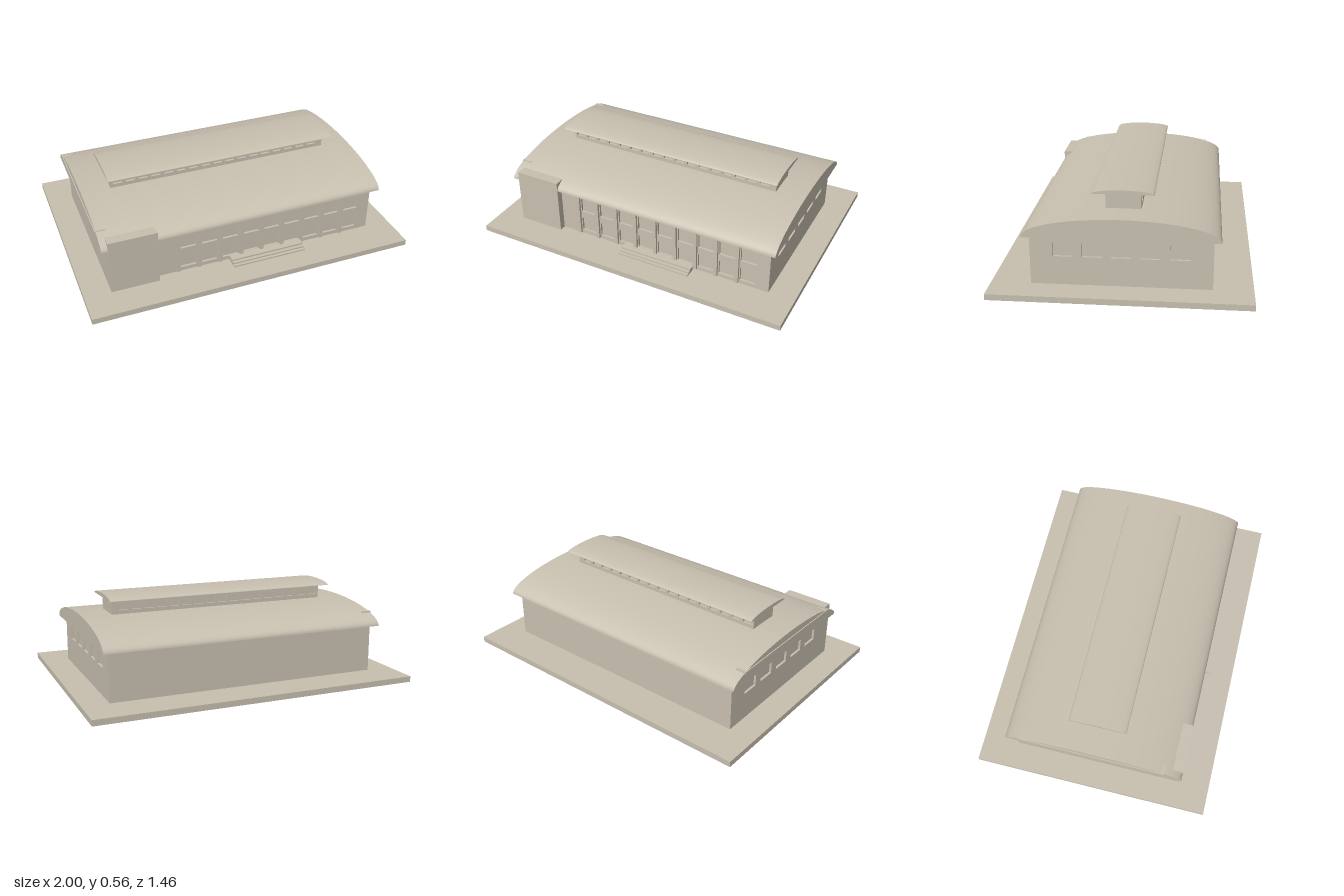
import * as THREE from 'three';
import { toCreasedNormals } from 'three/addons/utils/BufferGeometryUtils.js';

const BASE_TOP = 0.035, EAVE = 0.325;
const RECESS = 0.014;

export function createModel() {
  const model = new THREE.Group();
  model.name = 'hall';
  const stone = new THREE.MeshStandardMaterial({ color: 0xc8c0b0 });
  stone.name = 'stone';

  const add = (name, geometry, parent = model) => {
    const mesh = new THREE.Mesh(geometry, stone);
    mesh.name = name;
    parent.add(mesh);
    return mesh;
  };

  // Box given by its limits on each axis
  const box = (name, [x0, x1], [y0, y1], [z0, z1], parent) => {
    const mesh = add(name, new THREE.BoxGeometry(x1 - x0, y1 - y0, z1 - z0), parent);
    mesh.position.set((x0 + x1) / 2, (y0 + y1) / 2, (z0 + z1) / 2);
    return mesh;
  };

  // Thin wall skin with rectangular openings [x0, x1, y0, y1]
  const pierced = (name, halfWidth, y0, y1, openings) => {
    const rect = (path, a, b, c, d) =>
      path.moveTo(a, c).lineTo(b, c).lineTo(b, d).lineTo(a, d).closePath();
    const shape = rect(new THREE.Shape(), -halfWidth, halfWidth, y0, y1);
    for (const [a, b, c, d] of openings) shape.holes.push(rect(new THREE.Path(), a, b, c, d));
    return add(name, new THREE.ExtrudeGeometry(shape, { depth: RECESS, bevelEnabled: false }));
  };

  // Solid vault with a half-ellipse section, running along x
  const vault = (name, halfLength, halfSpan, y0, rise) => {
    const shape = new THREE.Shape();
    shape.moveTo(halfSpan, 0);
    for (let i = 1; i <= 48; i++) {
      const a = (i / 48) * Math.PI;
      shape.lineTo(halfSpan * Math.cos(a), rise * Math.sin(a));
    }
    shape.closePath();
    const geometry = new THREE.ExtrudeGeometry(shape, { depth: halfLength * 2, bevelEnabled: false });
    geometry.translate(0, y0, -halfLength).rotateY(Math.PI / 2);
    return add(name, toCreasedNormals(geometry, 0.6));
  };

  // Ground slab
  box('baseSlab', [-1, 1], [0, BASE_TOP], [-0.73, 0.73]);

  // Wall core behind the pierced skins; the back wall is plain
  box('wallCore', [-0.84 + RECESS, 0.84 - RECESS], [BASE_TOP, EAVE + 0.01], [-0.505, 0.505 - RECESS]);

  // Front wall: two rows of nine windows, two lower bays are doors
  const frontOpenings = [];
  for (let i = 0; i < 9; i++) {
    const x = -0.358 + i * 0.1335;
    const door = i === 3 || i === 4;
    frontOpenings.push([x - 0.049, x + 0.049, 0.198, 0.289]);
    frontOpenings.push([x - 0.049, x + 0.049, door ? 0.064 : 0.06, 0.15]);
  }
  pierced('frontWall', 0.84, BASE_TOP, EAVE, frontOpenings).position.z = 0.505 - RECESS;

  // Side walls: five windows each
  const sideOpenings = [-2, -1, 0, 1, 2].map(i => [i * 0.161 - 0.055, i * 0.161 + 0.055, 0.203, 0.285]);
  for (const side of [-1, 1]) {
    const wall = pierced(side > 0 ? 'leftWall' : 'rightWall', 0.505, BASE_TOP, EAVE, sideOpenings);
    wall.rotation.y = side * Math.PI / 2;
    wall.position.x = side * (0.84 - RECESS);
  }

  // Pilasters between the window bays
  const pilasters = new THREE.Group();
  pilasters.name = 'pilasters';
  model.add(pilasters);
  for (let i = 0; i < 9; i++) {
    const x = -0.424 + i * 0.1335;
    box('pilaster', [x - 0.011, x + 0.011], [0.042, 0.32], [0.5, 0.52], pilasters);
  }

  // Corner block at the front
  box('cornerBlock', [-0.84, -0.55], [BASE_TOP, 0.38], [0.45, 0.547]);

  // Entrance steps
  [[0.044, 0.593], [0.053, 0.575], [0.063, 0.555]].forEach(([top, front]) =>
    box('entranceStep', [-0.1, 0.367], [BASE_TOP, top], [0.5, front]));

  // Main roof with a tie beam across one gable
  vault('mainRoof', 0.878, 0.545, EAVE, 0.118);
  box('gableBeam', [-0.884, -0.82], [0.385, 0.399], [-0.446, 0.436]);

  // Raised roof lantern with rows of small windows on both long sides
  box('lanternCore', [-0.7, 0.7], [0.4, 0.536], [-0.1 + RECESS, 0.1 - RECESS]);
  const lanternOpenings = [];
  for (let i = 0; i < 17; i++) {
    const x = -0.655 + i * 0.08;
    lanternOpenings.push([x - 0.029, x + 0.029, 0.464, 0.513]);
  }
  for (const z of [-0.1, 0.1 - RECESS])
    pierced('lanternWall', 0.7, 0.4, 0.536, lanternOpenings).position.z = z;
  vault('lanternRoof', 0.73, 0.174, 0.533, 0.024);

  return model;
}
